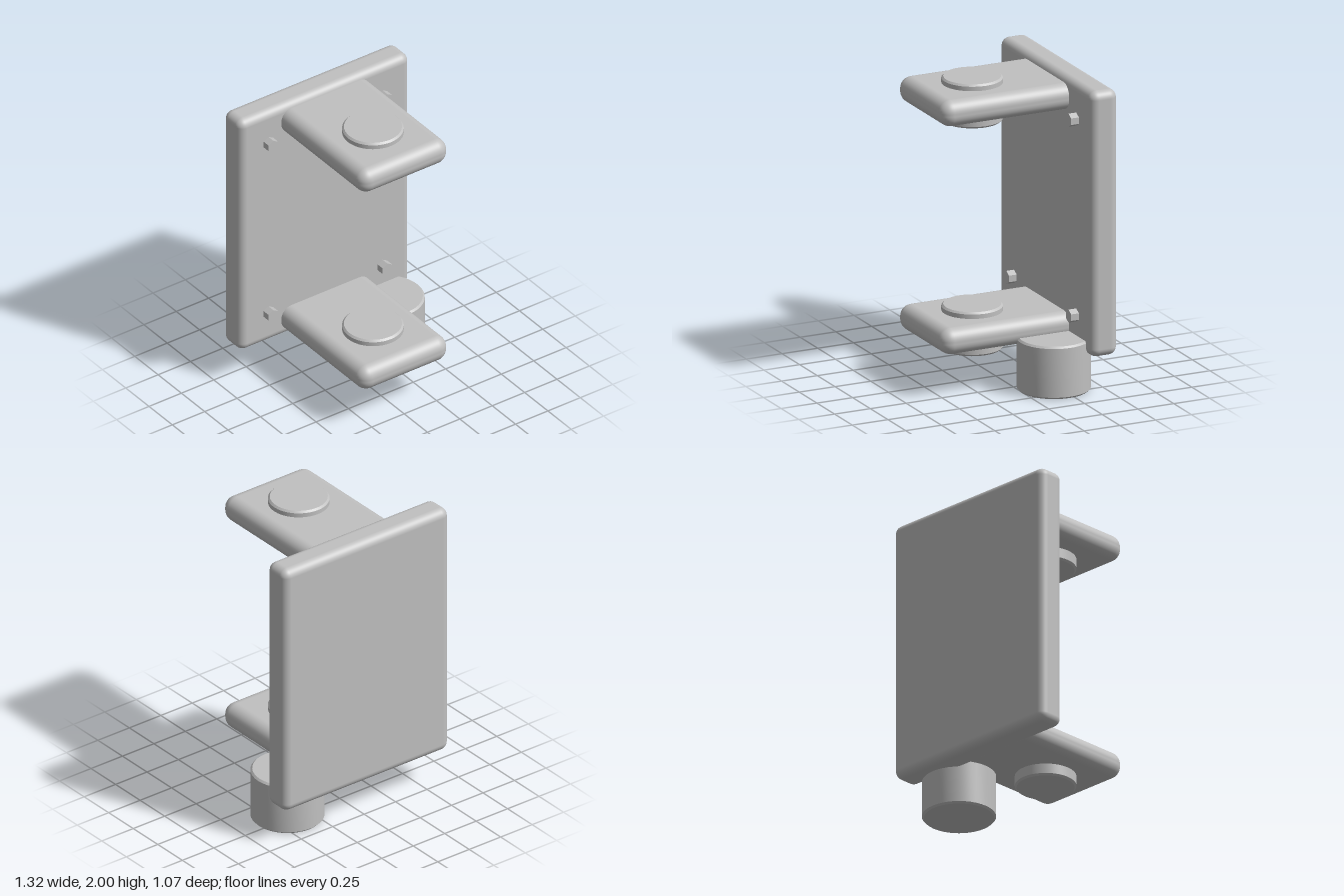
import * as THREE from 'three';
import { toCreasedNormals } from 'three/addons/utils/BufferGeometryUtils.js';
import { RoundedBoxGeometry } from 'three/addons/geometries/RoundedBoxGeometry.js';

export function createModel() {
  const model = new THREE.Group();
  model.name = 'wallBracket';

  const steel = new THREE.MeshStandardMaterial({ color: 0xc0c0c0 });
  steel.name = 'grey steel';

  const add = (name, geometry, x, y, z) => {
    const mesh = new THREE.Mesh(geometry, steel);
    mesh.name = name;
    mesh.position.set(x, y, z);
    model.add(mesh);
    return mesh;
  };

  // Upright disc with small chamfered rims, standing on its own y = 0
  const chamferedCylinder = (radius, height, chamfer) => {
    const profile = [
      [0, 0], [radius - chamfer, 0], [radius, chamfer],
      [radius, height - chamfer], [radius - chamfer, height], [0, height],
    ].map(([r, y]) => new THREE.Vector2(r, y));
    return toCreasedNormals(new THREE.LatheGeometry(profile, 40), 0.4);
  };

  // Back plate
  add('backPlate', new RoundedBoxGeometry(1.316, 1.75, 0.19, 5, 0.055), 0, 1.125, -0.44);

  // Upper and lower arms, each with a pivot boss passing through it
  for (const [level, y] of [['upper', 1.875], ['lower', 0.375]]) {
    add(level + 'Arm', new RoundedBoxGeometry(0.68, 0.172, 0.95, 5, 0.078), 0, y, 0.055);
    add(level + 'Boss', chamferedCylinder(0.194, 0.29, 0.012), 0, y - 0.165 + 0.002, 0.165);
  }

  // Hexagonal bolt heads on the front of the plate
  const bolt = toCreasedNormals(new THREE.CylinderGeometry(0.043, 0.043, 0.09, 6), 0.4);
  for (const x of [-0.44, 0.44]) {
    for (const y of [0.48, 1.77]) {
      add('boltHead', bolt, x, y, -0.336).rotation.x = Math.PI / 2;
    }
  }

  // Cylindrical foot under one corner of the plate
  add('cornerFoot', chamferedCylinder(0.233, 0.345, 0.012), 0.387, 0, -0.215);

  return model;
}
